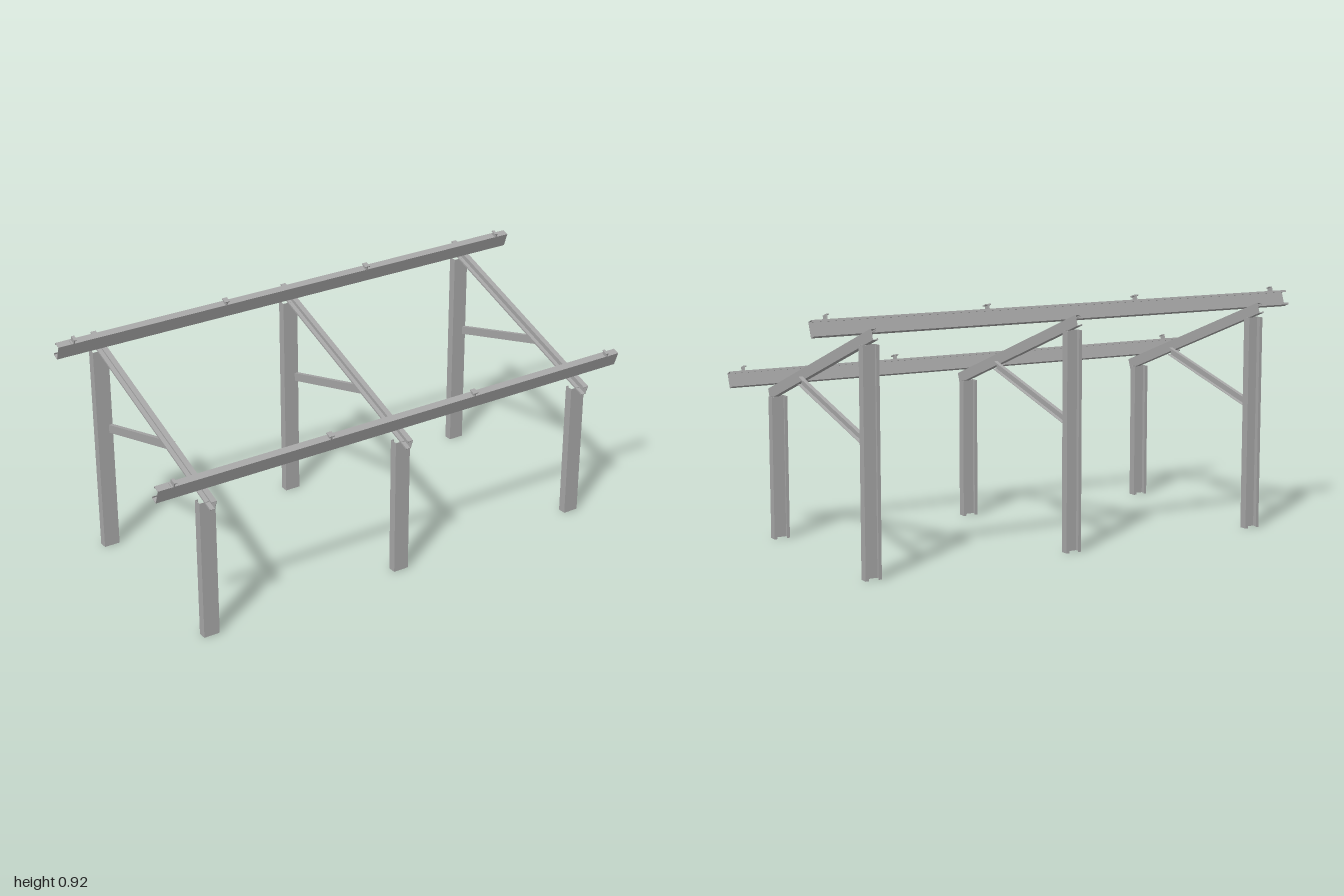
import * as THREE from 'three';

const steel = new THREE.MeshStandardMaterial({ color: 0xa6a6a6 });
steel.name = 'galvanised steel';
const T = 0.0016; // sheet thickness

// Thin-walled C channel: web of given width, flanges along `open`, run from a to b
function channel(name, width, depth, lip, a, b, open) {
  const h = width / 2;
  const half = lip > 0
    ? [[h, 0], [h, depth], [h - lip, depth], [h - lip, depth - T], [h - T, depth - T], [h - T, T]]
    : [[h, 0], [h, depth], [h - T, depth], [h - T, T]];
  const outline = [...half, ...half.slice().reverse().map(([x, y]) => [-x, y])];
  const shape = new THREE.Shape(outline.map(([x, y]) => new THREE.Vector2(x, y)));
  const run = b.clone().sub(a);
  const geo = new THREE.ExtrudeGeometry(shape, { depth: run.length(), bevelEnabled: false });
  const along = run.normalize();
  const across = new THREE.Vector3().crossVectors(open, along);
  geo.applyMatrix4(new THREE.Matrix4().makeBasis(across, open, along).setPosition(a));
  const mesh = new THREE.Mesh(geo, steel);
  mesh.name = name;
  return mesh;
}

const V = (x, y, z) => new THREE.Vector3(x, y, z);

function plate(parent, w, h, d, x, y, z) {
  const m = new THREE.Mesh(new THREE.BoxGeometry(w, h, d), steel);
  m.name = 'clampPlate';
  m.position.set(x, y, z);
  parent.add(m);
}

// Panel clamp: T section between panels (side 0), Z section at the ends (side +1 / -1)
function clamp(x, y, z, side) {
  const g = new THREE.Group();
  g.name = side ? 'endClamp' : 'midClamp';
  g.position.set(x, y, z);
  const len = 0.024;
  plate(g, 0.005, 0.019, len, 0, 0.0095, 0);
  if (side) {
    plate(g, 0.011, 0.003, len, -side * 0.004, 0.0178, 0);
    plate(g, 0.010, 0.003, len, side * 0.004, 0.0015, 0);
  } else {
    plate(g, 0.021, 0.004, len, 0, 0.0172, 0);
  }
  return g;
}

export function createModel() {
  const model = new THREE.Group();
  model.name = 'panelRack';

  // Tilted frame: local z runs down the slope, local y is normal to it
  const slope = new THREE.Group();
  slope.name = 'slopedFrame';
  slope.position.y = 0.695;
  slope.rotation.x = THREE.MathUtils.degToRad(20);
  model.add(slope);

  const back = V(0, 0, -1);
  for (const x of [-0.811, 0, 0.811]) {
    // Posts, open towards the back
    model.add(channel('frontPost', 0.062, 0.032, 0.012, V(x, 0, 0.387), V(x, 0.537, 0.387), back));
    model.add(channel('rearPost', 0.062, 0.032, 0.012, V(x, 0, -0.369), V(x, 0.81, -0.369), back));
    // Diagonal brace beside the rafter
    model.add(channel('brace', 0.031, 0.0155, 0,
      V(x + 0.0155, 0.4845, -0.39), V(x + 0.0155, 0.628, 0.121), V(1, 0, 0)));
    // Rafter, web towards +x
    slope.add(channel('rafter', 0.04, 0.021, 0.006,
      V(x + 0.0105, 0, -0.455), V(x + 0.0105, 0, 0.455), V(-1, 0, 0)));
  }

  // Purlins with panel clamps on top
  for (const [name, z] of [['frontPurlin', 0.3895], ['rearPurlin', -0.3625]]) {
    slope.add(channel(name, 0.057, 0.027, 0.008, V(-1, 0.0488, z), V(1, 0.0488, z), back));
    for (const x of [-0.94, -0.313, 0.313, 0.94]) {
      const side = Math.abs(x) > 0.5 ? Math.sign(x) : 0;
      slope.add(clamp(x, 0.0773, z - 0.009, side));
    }
  }
  return model;
}
